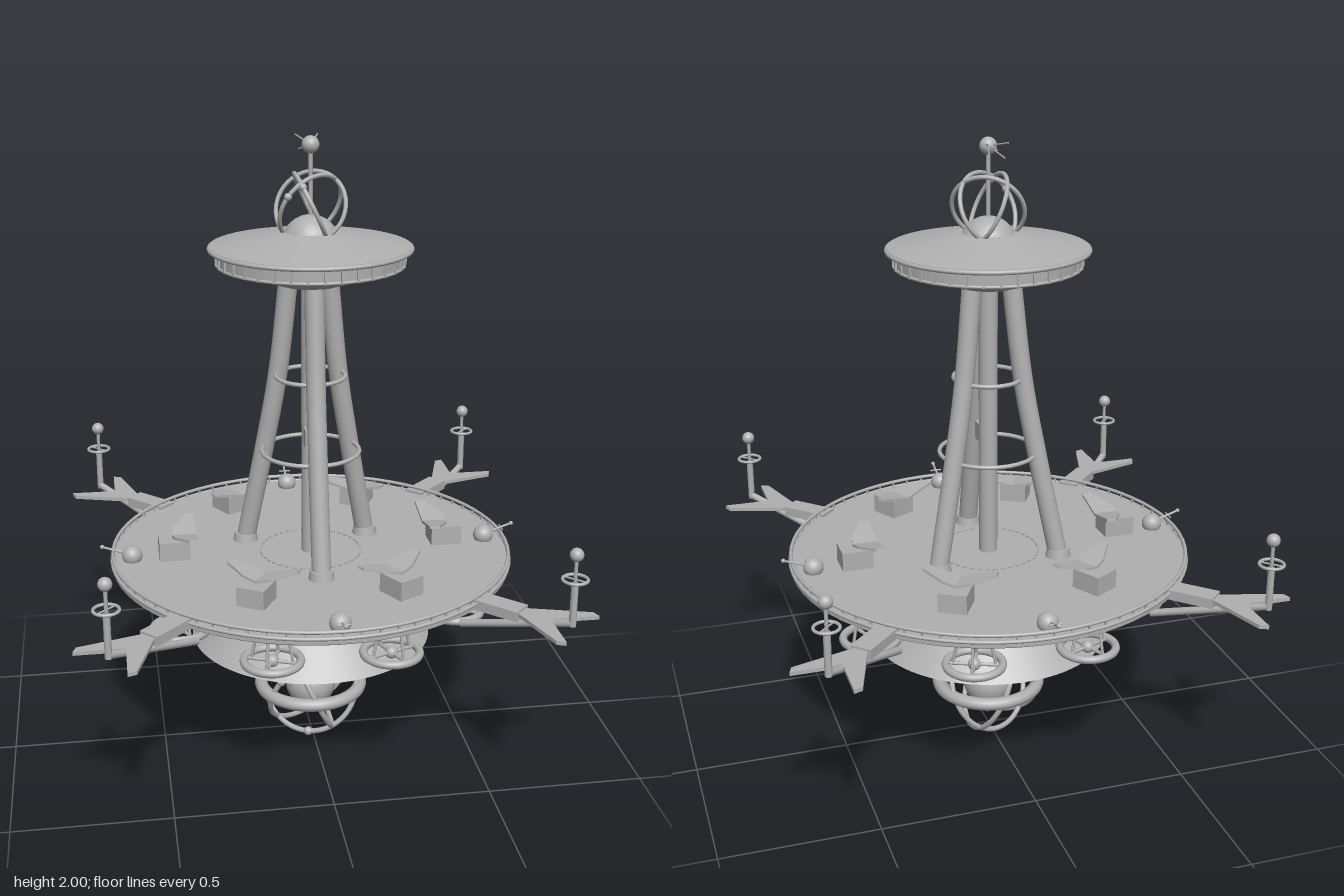
import * as THREE from 'three';

const grey = new THREE.MeshStandardMaterial({ color: 0xb0b0b0 });
grey.name = 'hull grey';
const TAU = Math.PI * 2;
const V = (x, y, z) => new THREE.Vector3(x, y, z);

function add(parent, name, geometry, x = 0, y = 0, z = 0) {
  const mesh = new THREE.Mesh(geometry, grey);
  mesh.name = name;
  mesh.position.set(x, y, z);
  parent.add(mesh);
  return mesh;
}
function rod(parent, name, a, b, r, sides = 8) {
  const mesh = add(parent, name, new THREE.CylinderGeometry(r, r, a.distanceTo(b), sides));
  mesh.position.copy(a).add(b).multiplyScalar(0.5);
  mesh.quaternion.setFromUnitVectors(V(0, 1, 0), b.clone().sub(a).normalize());
  return mesh;
}
const ball = (parent, name, r, x, y, z) =>
  add(parent, name, new THREE.SphereGeometry(r, 24, 16), x, y, z);
function hoop(parent, name, R, tube, y) {
  const mesh = add(parent, name, new THREE.TorusGeometry(R, tube, 10, 72), 0, y, 0);
  mesh.rotation.x = Math.PI / 2;
  return mesh;
}
const lathe = (pts) =>
  new THREE.LatheGeometry(pts.map(([r, y]) => new THREE.Vector2(r, y)), 72).toNonIndexed();

// Lathe with each profile segment kept separate, so edges stay sharp
function turned(parent, name, pts) {
  const g = new THREE.Group();
  g.name = name;
  for (let i = 0; i < pts.length - 1; i++) add(g, name + 'Band', lathe([pts[i], pts[i + 1]]));
  parent.add(g);
}
// Repeats a part around the vertical axis; local +x points outward
function around(parent, name, n, start, build) {
  for (let i = 0; i < n; i++) {
    const g = new THREE.Group();
    g.name = name;
    g.rotation.y = start + (i / n) * TAU;
    build(g, i);
    parent.add(g);
  }
}
// Thin horizontal plate from [outward, sideways] points
function plate(parent, name, pts, thick, y) {
  const shape = new THREE.Shape(pts.map(([u, t]) => new THREE.Vector2(u, t)));
  const g = new THREE.ExtrudeGeometry(shape, { depth: thick, bevelEnabled: false });
  g.rotateX(-Math.PI / 2);
  return add(parent, name, g, 0, y, 0);
}
// Three tilted orbit rings, each with a small bead
function orbits(parent, name, R, tube, y, bead) {
  around(parent, name, 3, 0, (g, i) => {
    g.position.y = y;
    const tilt = new THREE.Group();
    tilt.rotation.z = 0.44;
    g.add(tilt);
    const ring = add(tilt, 'orbitRing', new THREE.TorusGeometry(R, tube, 8, 64));
    ring.rotation.y = Math.PI / 2;
    const a = 0.8 + i * 1.9;
    ball(tilt, 'orbitBead', bead, 0, R * Math.sin(a), R * Math.cos(a));
  });
}

export function createModel() {
  const model = new THREE.Group();
  model.name = 'skyStation';

  // Main deck with rim rails
  turned(model, 'mainDeck', [[0, 0.625], [0.64, 0.625], [0.65, 0.632], [0.65, 0.652], [0, 0.652]]);
  hoop(model, 'deckRimRail', 0.647, 0.006, 0.67);
  hoop(model, 'deckRimEdge', 0.65, 0.006, 0.65);
  around(model, 'railPost', 72, 0, g =>
    add(g, 'post', new THREE.BoxGeometry(0.006, 0.024, 0.006), 0.646, 0.662, 0));
  around(model, 'deckMarker', 40, 0, g =>
    add(g, 'marker', new THREE.BoxGeometry(0.006, 0.006, 0.014), 0.165, 0.654, 0));

  // Flared skirt and the collar below it
  turned(model, 'lowerSkirt', [[0, 0.365], [0.395, 0.365], [0.155, 0.63]]);
  turned(model, 'lowerCollar', [[0, 0.337], [0.15, 0.337], [0.08, 0.368]]);

  // Lower globe, thick belt and orbit rings
  rod(model, 'globeStem', V(0, 0.22, 0), V(0, 0.36, 0), 0.012);
  ball(model, 'lowerGlobe', 0.085, 0, 0.163, 0);
  hoop(model, 'globeBelt', 0.168, 0.022, 0.163);
  orbits(model, 'lowerOrbit', 0.164, 0.009, 0.158, 0.015);

  // Tower: three curved legs, core column, tie rings and lift car
  around(model, 'towerLeg', 3, -Math.PI / 2, g => {
    const path = new THREE.CatmullRomCurve3([
      V(0.235, 0.65, 0), V(0.16, 1.0, 0), V(0.112, 1.25, 0), V(0.073, 1.57, 0)]);
    add(g, 'legTube', new THREE.TubeGeometry(path, 32, 0.031, 20));
    add(g, 'legFoot', new THREE.CylinderGeometry(0.036, 0.042, 0.03, 24), 0.234, 0.665, 0);
  });
  rod(model, 'coreColumn', V(0, 0.65, 0), V(0, 1.57, 0), 0.03, 24);
  hoop(model, 'lowerTieRing', 0.157, 0.007, 1.0);
  hoop(model, 'upperTieRing', 0.11, 0.007, 1.25);
  add(model, 'liftCar', new THREE.BoxGeometry(0.05, 0.06, 0.05), 0, 1.055, 0.036);

  // Saucer with window band
  turned(model, 'saucer', [[0, 1.55], [0.1, 1.55], [0.29, 1.612], [0.29, 1.65],
    [0.312, 1.652], [0.312, 1.668], [0.09, 1.712], [0, 1.712]]);
  hoop(model, 'saucerRim', 0.312, 0.007, 1.66);
  hoop(model, 'windowSill', 0.29, 0.005, 1.612);
  around(model, 'windowMullion', 36, 0, g =>
    add(g, 'mullion', new THREE.BoxGeometry(0.01, 0.045, 0.008), 0.291, 1.632, 0));

  // Crown: dome, orbit rings, mast and spiked beacon
  ball(model, 'crownDome', 0.09, 0, 1.672, 0);
  orbits(model, 'crownOrbit', 0.113, 0.007, 1.785, 0.012);
  rod(model, 'crownMast', V(0, 1.74, 0), V(0, 1.97, 0), 0.007);
  ball(model, 'beacon', 0.027, 0, 1.973, 0);
  for (const [x, y] of [[0, 0], [0.035, 0.02], [-0.035, 0.02], [0.025, -0.025], [-0.025, -0.025]])
    rod(model, 'beaconSpike', V(0, 1.973, 0), V(x, 1.973 + y, -0.088), 0.0025, 6);

  // Six deck craft: block with an upswept wing
  around(model, 'deckCraft', 6, 0, g => {
    add(g, 'craftBlock', new THREE.BoxGeometry(0.1, 0.062, 0.09), 0.448, 0.69, 0);
    for (const s of [1, -1]) {
      const pts = [[0.375, 0], [0.455, 0], [0.448, s * 0.045], [0.405, s * 0.12], [0.375, s * 0.12]];
      const wing = plate(g, 'craftWing', pts, 0.008, 0.722);
      wing.rotation.x = s * 0.22;
    }
  });

  // Four deck domes with short aerials
  around(model, 'deckDome', 4, 0, g => {
    ball(g, 'domeBall', 0.033, 0.585, 0.668, 0);
    rod(g, 'domeAerial', V(0.585, 0.67, 0), V(0.68, 0.703, 0), 0.004);
    ball(g, 'aerialTip', 0.007, 0.68, 0.703, 0);
    const cross = rod(g, 'aerialCross', V(0.645, 0.69, -0.02), V(0.645, 0.69, 0.02), 0.003);
    cross.name = 'aerialCrossbar';
  });

  // Eight hanging wheels under the deck
  around(model, 'hangingWheel', 8, Math.PI / 8, g => {
    const w = new THREE.Group();
    w.name = 'wheel';
    w.position.set(0.482, 0, 0);
    g.add(w);
    hoop(w, 'wheelRing', 0.087, 0.013, 0.487);
    ball(w, 'wheelHub', 0.02, 0, 0.487, 0);
    around(w, 'wheelSpoke', 4, 0, s => {
      rod(s, 'spoke', V(0, 0.487, 0), V(0.087, 0.487, 0), 0.006);
      rod(s, 'strut', V(0.066, 0.487, 0), V(0.038, 0.63, 0), 0.005);
    });
  });

  // Four corner arms: block, forked wing, slanted boom and beacon mast
  around(model, 'cornerArm', 4, Math.PI / 4, g => {
    add(g, 'armBlock', new THREE.BoxGeometry(0.16, 0.032, 0.068), 0.71, 0.645, 0);
    plate(g, 'forkedWing', [[0.78, -0.018], [0.966, -0.118], [0.992, -0.106], [0.885, 0],
      [0.992, 0.106], [0.966, 0.118], [0.78, 0.018]], 0.012, 0.642);
    rod(g, 'slantedBoom', V(0.58, 0.552, 0), V(0.956, 0.662, 0), 0.012, 12);
    rod(g, 'beaconMast', V(0.956, 0.652, 0), V(0.956, 0.79, 0), 0.011, 12);
    rod(g, 'mastTop', V(0.956, 0.78, 0), V(0.956, 0.88, 0), 0.006);
    hoop(g, 'mastRing', 0.037, 0.005, 0.802).position.x = 0.956;
    const bar = rod(g, 'mastRingBar', V(0.919, 0.802, 0), V(0.993, 0.802, 0), 0.003);
    bar.rotation.y = 0;
    ball(g, 'mastBeacon', 0.021, 0.956, 0.88, 0);
  });

  return model;
}
